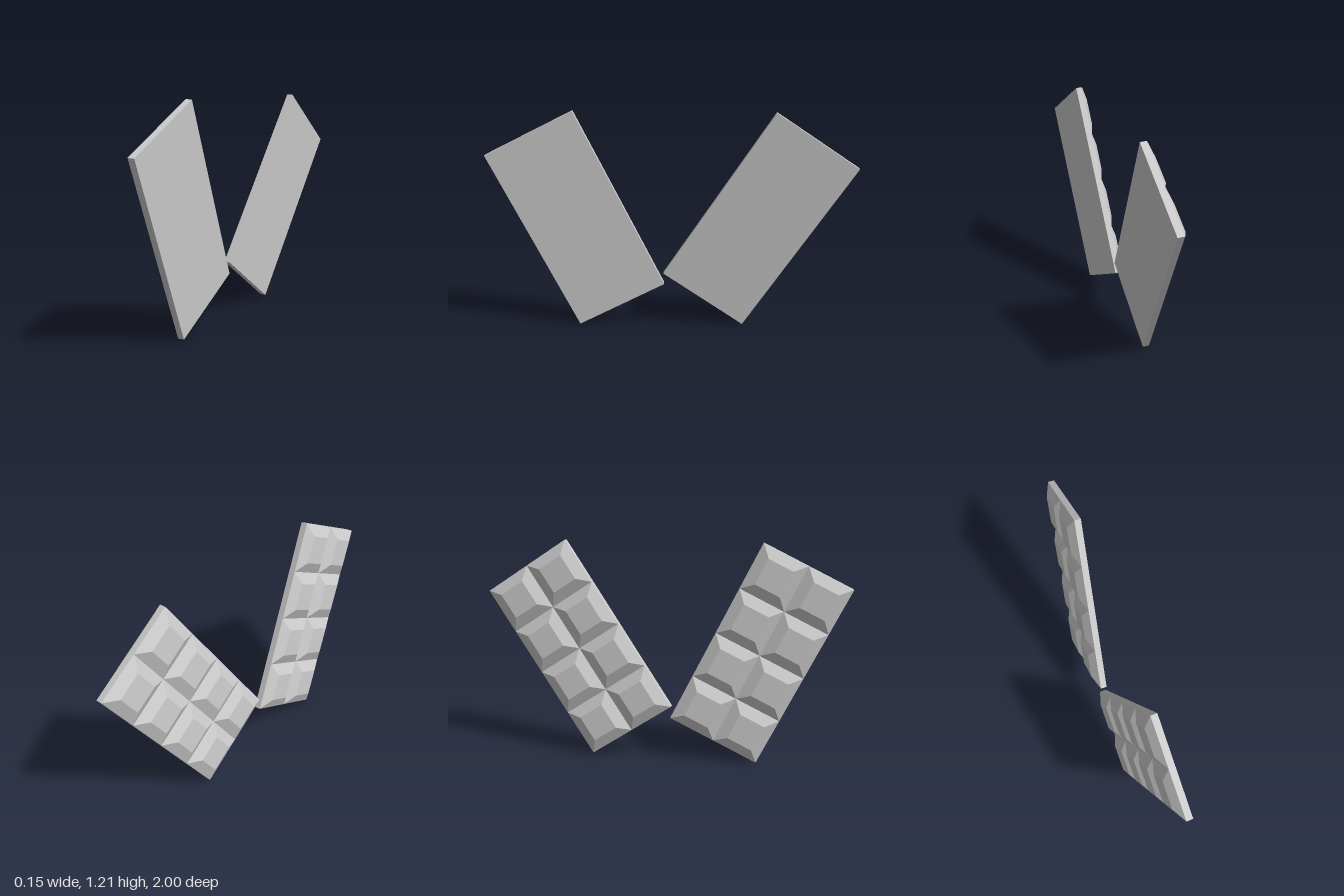
import * as THREE from 'three';

const LENGTH = 1.087, WIDTH = 0.533; // face of one slab
const BASE = 0.035, BUMP = 0.033;    // plate thickness, segment height
const ROWS = 4, COLS = 2, INSET = 0.06;

// Box whose upper face is drawn in on every side
function segmentGeometry(l, h, w, inset) {
  const geo = new THREE.BoxGeometry(l, h, w).toNonIndexed();
  const p = geo.attributes.position;
  for (let i = 0; i < p.count; i++) {
    if (p.getY(i) > 0) {
      p.setX(i, p.getX(i) - Math.sign(p.getX(i)) * inset);
      p.setZ(i, p.getZ(i) - Math.sign(p.getZ(i)) * inset);
    }
  }
  geo.computeVertexNormals();
  return geo;
}

// One slab: flat back on local y = 0, segments rising along local +y
function makeSlab(name, material, centre, along, across) {
  const slab = new THREE.Group();
  slab.name = name;

  const plate = new THREE.Mesh(new THREE.BoxGeometry(LENGTH, BASE, WIDTH), material);
  plate.name = 'plate';
  plate.position.y = BASE / 2;
  slab.add(plate);

  const l = LENGTH / ROWS, w = WIDTH / COLS;
  const geo = segmentGeometry(l, BUMP, w, INSET);
  for (let r = 0; r < ROWS; r++) {
    for (let c = 0; c < COLS; c++) {
      const segment = new THREE.Mesh(geo, material);
      segment.name = 'segment';
      segment.position.set((r - (ROWS - 1) / 2) * l, BASE + BUMP / 2, (c - (COLS - 1) / 2) * w);
      slab.add(segment);
    }
  }

  // Orient the slab by its long and short edge directions
  const x = new THREE.Vector3(...along).normalize();
  const y = new THREE.Vector3(...across).cross(x).normalize();
  const z = new THREE.Vector3().crossVectors(x, y);
  slab.quaternion.setFromRotationMatrix(new THREE.Matrix4().makeBasis(x, y, z));
  slab.position.set(...centre);
  return slab;
}

export function createModel() {
  const model = new THREE.Group();
  model.name = 'brokenBar';
  const grey = new THREE.MeshStandardMaterial({ color: 0xcccccc, flatShading: true });
  grey.name = 'light grey';

  model.add(
    makeSlab('frontSlab', grey, [0.0275, 0.61, 0.5225], [0.075, 0.975, 0.485], [0.01, -0.235, 0.475]),
    makeSlab('rearSlab', grey, [0.025, 0.61, -0.475], [0.08, 0.9, -0.6], [0.01, 0.3, 0.45])
  );
  return model;
}
